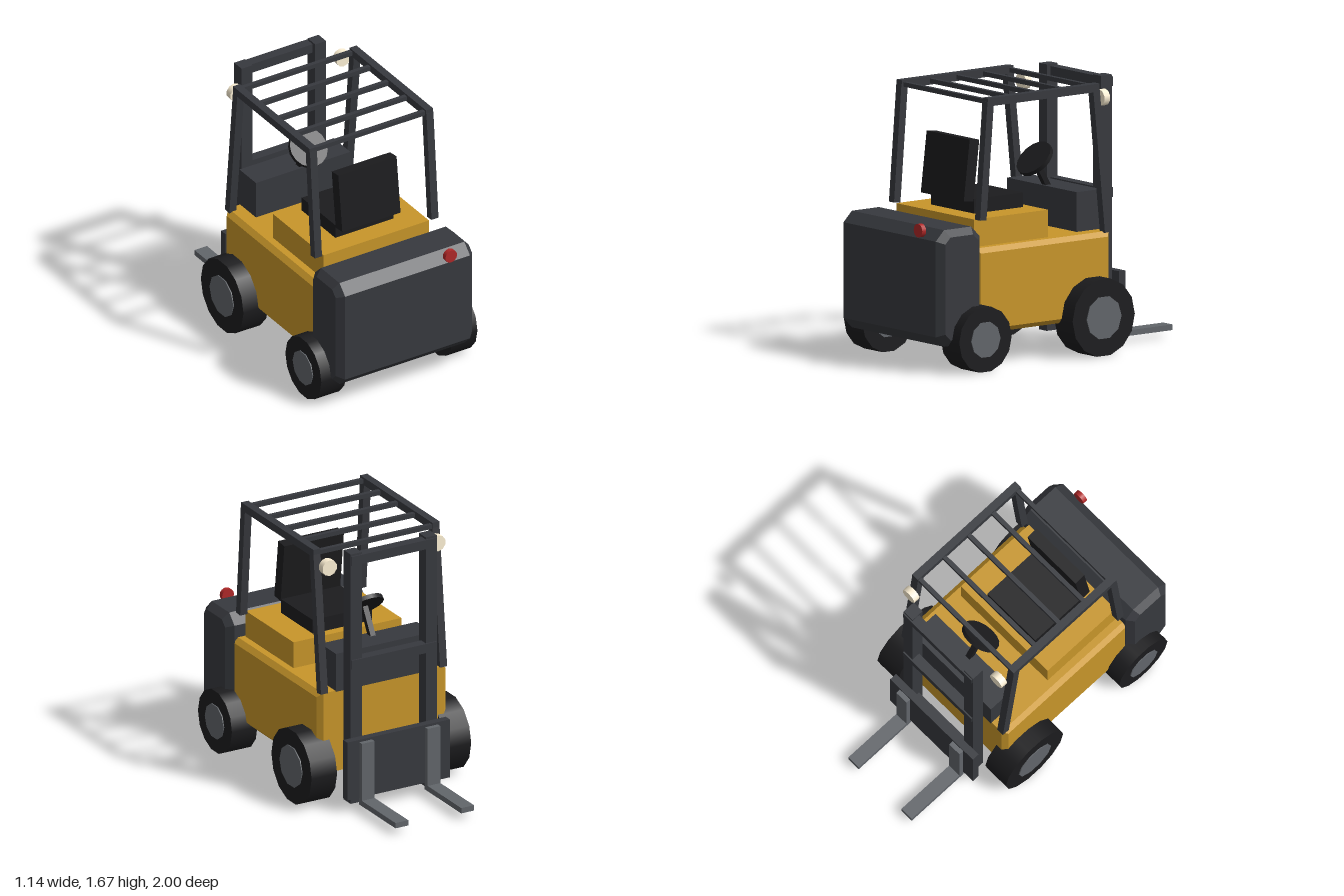
import * as THREE from 'three';

const mat = (color) => new THREE.MeshStandardMaterial({ color });
const gold = mat(0xc8962a), dark = mat(0x37393e), black = mat(0x1c1c1e);
const steel = mat(0x62666b), red = mat(0xb02828), cream = mat(0xfff2d6);

export function createModel() {
  const model = new THREE.Group();
  model.name = 'forklift';

  const add = (name, geometry, material, x = 0, y = 0, z = 0) => {
    const mesh = new THREE.Mesh(geometry, material);
    mesh.name = name;
    mesh.position.set(x, y, z);
    model.add(mesh);
    return mesh;
  };

  // Box given by its ranges in x, y and z
  const box = (name, material, [x0, x1], [y0, y1], [z0, z1]) =>
    add(name, new THREE.BoxGeometry(x1 - x0, y1 - y0, z1 - z0), material,
      (x0 + x1) / 2, (y0 + y1) / 2, (z0 + z1) / 2);

  // Square bar from (y, z) point a to (y, z) point b at a fixed x
  const bar = (name, material, x, a, b, width) => {
    const dy = b[0] - a[0], dz = b[1] - a[1];
    const mesh = add(name, new THREE.BoxGeometry(width, Math.hypot(dy, dz), width), material,
      x, (a[0] + b[0]) / 2, (a[1] + b[1]) / 2);
    mesh.rotation.x = Math.atan2(dz, dy);
    return mesh;
  };

  // Side profile with cut corners, extruded across x with bevelled sides
  const bevelled = (name, material, halfWidth, [y0, y1], [z0, z1], bevel, cut) => {
    const b = bevel;
    const [l, r, d, u] = [-z1 + b, -z0 - b, y0 + b, y1 - b];
    const corners = cut
      ? [[l + cut, d], [r - cut, d], [r, d + cut], [r, u - cut], [r - cut, u], [l + cut, u], [l, u - cut], [l, d + cut]]
      : [[l, d], [r, d], [r, u], [l, u]];
    const shape = new THREE.Shape(corners.map(([x, y]) => new THREE.Vector2(x, y)));
    const geometry = new THREE.ExtrudeGeometry(shape, {
      depth: 2 * (halfWidth - b), bevelEnabled: true, bevelThickness: b, bevelSize: b, bevelSegments: 1,
    });
    geometry.translate(0, 0, -(halfWidth - b));
    geometry.rotateY(Math.PI / 2);
    return add(name, geometry, material);
  };

  // Chassis, counterweight and seat
  bevelled('body', gold, 0.455, [0.215, 0.745], [-0.385, 0.66], 0.03, 0);
  bevelled('counterweight', dark, 0.492, [0.17, 0.89], [0.64, 0.98], 0.042, 0.04);
  box('seatDeck', gold, [-0.38, 0.38], [0.74, 0.915], [0.05, 0.625]);
  box('seatCushion', black, [-0.21, 0.21], [0.91, 1.005], [0.11, 0.49]);
  const seatBack = add('seatBack', new THREE.BoxGeometry(0.42, 0.38, 0.075), black, 0, 1.183, 0.51);
  seatBack.rotation.x = -0.12;

  // Dashboard and steering
  box('dashboard', dark, [-0.34, 0.34], [0.74, 0.99], [-0.392, -0.204]);
  bar('steeringColumn', black, 0, [0.93, -0.275], [1.15, -0.147], 0.036);
  const steering = add('steeringWheel', new THREE.CylinderGeometry(0.125, 0.125, 0.028, 16), black, 0, 1.157, -0.15);
  steering.rotation.x = Math.PI / 4;

  // Tail light
  const tail = add('tailLight', new THREE.CylinderGeometry(0.042, 0.042, 0.03, 16), red, 0.302, 0.876, 0.985);
  tail.rotation.x = Math.PI / 2;

  for (const side of [-1, 1]) {
    // Wheels
    for (const [name, r, hubR, z] of [['front', 0.242, 0.135, -0.237], ['rear', 0.204, 0.113, 0.683]]) {
      const tyre = add(name + 'Tyre', new THREE.CylinderGeometry(r, r, 0.18, 14), black, side * 0.473, r, z);
      const hub = add(name + 'Hub', new THREE.CylinderGeometry(hubR, hubR, 0.187, 10), steel, side * 0.4755, r, z);
      tyre.rotation.z = hub.rotation.z = Math.PI / 2;
    }

    // Overhead guard posts and rails
    const x = side * 0.42;
    bar('rearPost', dark, x, [0.915, 0.606], [1.64, 0.548], 0.05);
    bar('frontPost', dark, x, [0.74, -0.366], [1.64, -0.274], 0.05);
    box('guardRail', dark, [x - 0.025, x + 0.025], [1.615, 1.665], [-0.3, 0.57]);

    // Work lamps
    const lamp = add('workLamp', new THREE.CylinderGeometry(0.052, 0.052, 0.045, 10), cream, side * 0.383, 1.565, -0.368);
    lamp.rotation.x = Math.PI / 2;

    // Mast uprights and forks
    const mx = side * 0.265, fx = side * 0.232;
    box('mastUpright', dark, [mx - 0.039, mx + 0.039], [0.035, 1.68], [-0.508, -0.423]);
    box('forkShank', steel, [fx - 0.045, fx + 0.045], [0.046, 0.457], [-0.596, -0.56]);
    box('forkTine', steel, [fx - 0.045, fx + 0.045], [0.046, 0.081], [-1, -0.56]);
  }

  // Overhead guard slats
  for (let i = 0; i < 5; i++) {
    const z = -0.282 + i * 0.2065;
    box('guardSlat', dark, [-0.42, 0.42], [1.625, 1.653], [z - 0.014, z + 0.014]);
  }

  // Mast cross members and fork carriage
  for (const y of [0.26, 0.952, 1.637]) {
    box('mastCrossMember', dark, [-0.3, 0.3], [y - 0.03, y + 0.03], [-0.518, -0.452]);
  }
  box('carriage', dark, [-0.362, 0.362], [0.09, 0.472], [-0.565, -0.516]);

  return model;
}
